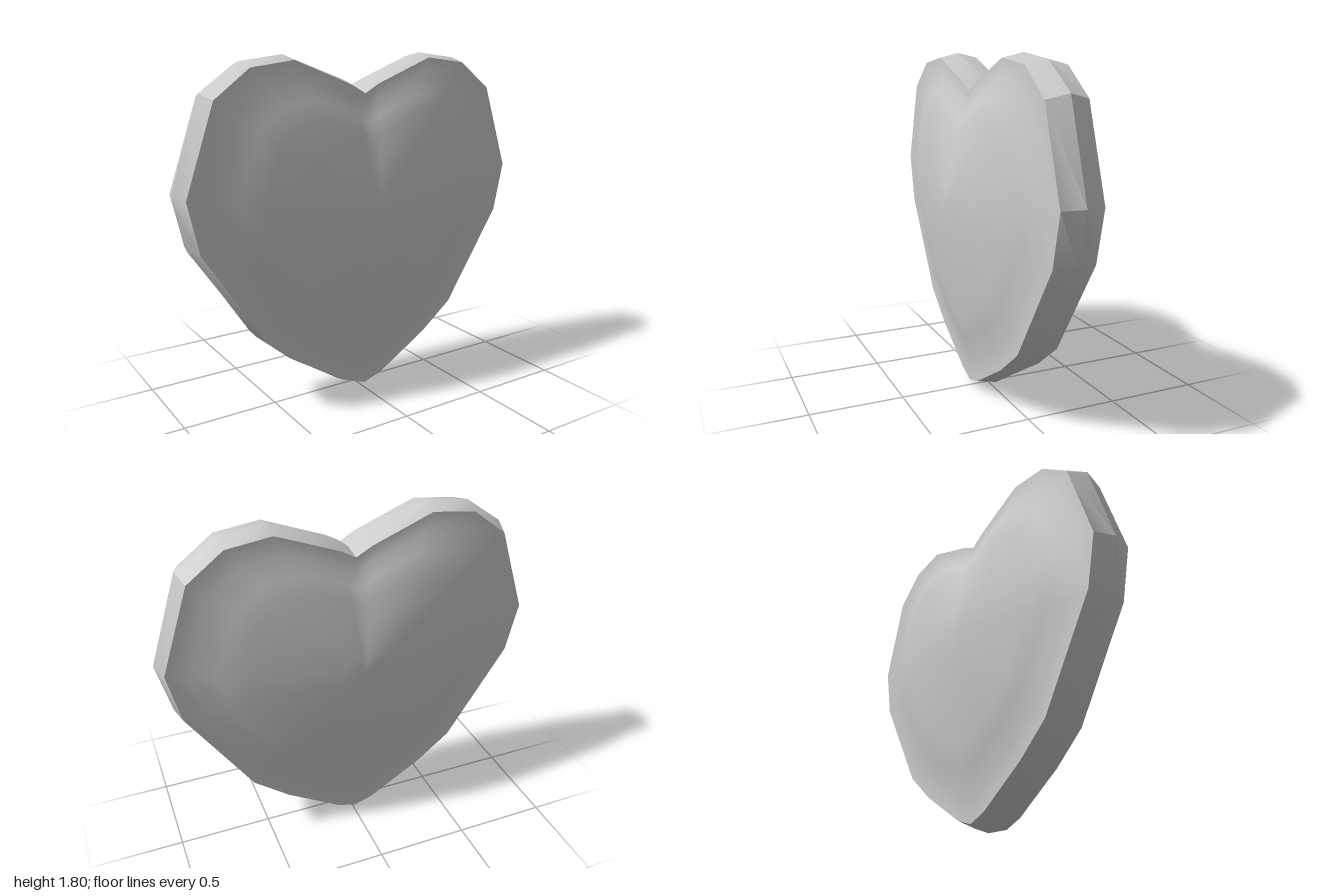
import * as THREE from 'three';
import { toCreasedNormals } from 'three/addons/utils/BufferGeometryUtils.js';

const CENTRE_Y = 1.03;

// Right half of the heart, from the notch round to the tip:
// [x, y] on the widest line of the rim, then [x, y] on the rim's front edge
const HALF = [
  [0, 1.625, 0, 1.61], [0.07, 1.677, 0.08, 1.655], [0.41, 1.805, 0.4, 1.78],
  [0.645, 1.775, 0.63, 1.75], [0.845, 1.635, 0.815, 1.61], [1, 1.17, 0.967, 1.165],
  [0.935, 0.9, 0.91, 0.9], [0.6, 0.4, 0.585, 0.393], [0.41, 0.235, 0.4, 0.245],
  [0.11, 0.04, 0.11, 0.067], [0, 0, 0, 0.03],
];

// Mirrored closed outline, clockwise from the front
function outline(k) {
  const right = HALF.map((p) => [p[k], p[k + 1]]);
  const left = right.slice(1, -1).reverse().map(([x, y]) => [-x, y]);
  return [...right, ...left];
}

function heartGeometry() {
  const widest = outline(0);
  const edge = outline(2);
  const ring = (scale, z) => edge.map(([x, y]) => [x * scale, CENTRE_Y + (y - CENTRE_Y) * scale, z]);

  // Domed face from its middle out to the rim, then the same mirrored for the back
  const front = [[0, 0.237], [0.13, 0.237], [0.4, 0.202], [0.62, 0.174], [0.75, 0.15], [0.88, 0.11], [1, 0.108]];
  const rings = [
    ...front.map(([s, z]) => ring(s, z)),
    widest.map(([x, y]) => [x, y, 0]),
    ...front.slice().reverse().map(([s, z]) => ring(s, -z)),
  ];

  const positions = [];
  const n = edge.length;
  for (let i = 0; i < rings.length - 1; i++) {
    for (let j = 0; j < n; j++) {
      const k = (j + 1) % n;
      const a = rings[i][j], b = rings[i][k], c = rings[i + 1][j], d = rings[i + 1][k];
      // Skip the collapsed triangles at the two middles
      if (i > 0) positions.push(...a, ...b, ...d);
      if (i < rings.length - 2) positions.push(...a, ...d, ...c);
    }
  }
  const geometry = new THREE.BufferGeometry();
  geometry.setAttribute('position', new THREE.Float32BufferAttribute(positions, 3));
  return toCreasedNormals(geometry, THREE.MathUtils.degToRad(31));
}

export function createModel() {
  const group = new THREE.Group();
  group.name = 'heart';
  const body = new THREE.Mesh(heartGeometry(), new THREE.MeshStandardMaterial({ color: 0xcccccc }));
  body.name = 'heartBody';
  group.add(body);
  return group;
}
